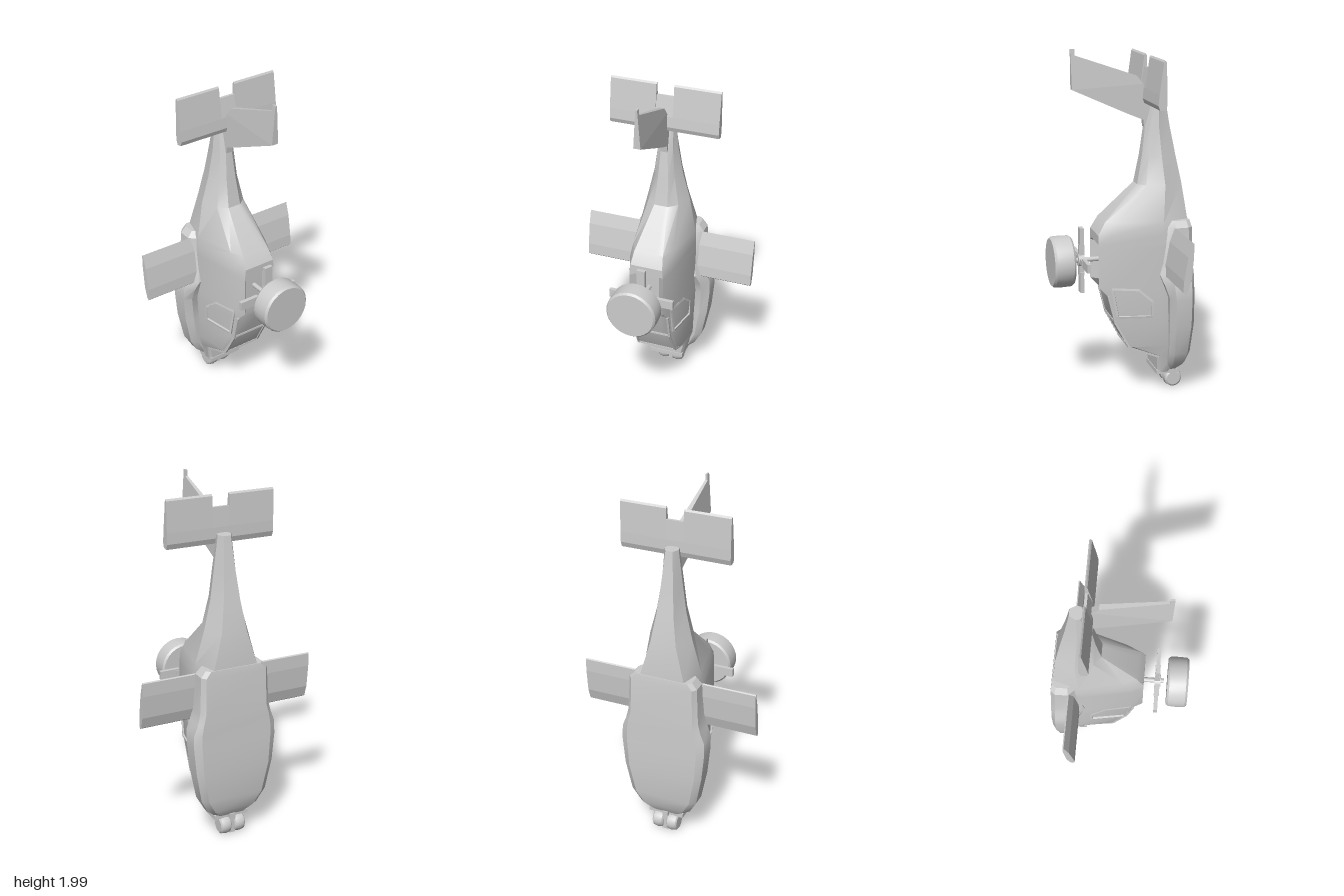
import * as THREE from 'three';
import { toCreasedNormals } from 'three/addons/utils/BufferGeometryUtils.js';

const paint = new THREE.MeshStandardMaterial({ color: 0xcccccc });
paint.name = 'light grey paint';

// Loft mirrored cross-sections along y. Section: [y, [x, z] pairs from back to front]
function loft(sections) {
  const pos = [], idx = [];
  const n = sections[0][1].length * 2;
  for (const [y, half] of sections) {
    const ring = [...half, ...half.slice().reverse().map(([x, z]) => [-x, z])];
    for (const [x, z] of ring) pos.push(x, y, z);
  }
  const last = sections.length - 1;
  for (let r = 0; r < last; r++) {
    for (let i = 0; i < n; i++) {
      const a = r * n + i, b = r * n + (i + 1) % n;
      idx.push(a, a + n, b, b, a + n, b + n);
    }
  }
  // end caps, strips between mirrored points
  for (let i = 0; i < n / 2 - 1; i++) {
    const j = n - 1 - i, t = last * n;
    idx.push(i, i + 1, j, j, i + 1, j - 1);
    idx.push(t + i, t + j, t + i + 1, t + j, t + j - 1, t + i + 1);
  }
  const g = new THREE.BufferGeometry();
  g.setAttribute('position', new THREE.Float32BufferAttribute(pos, 3));
  g.setIndex(idx);
  return toCreasedNormals(g, 0.5);
}

// Outline of [z, y] points extruded along x
function plate(points, x0, x1) {
  const shape = new THREE.Shape(points.map(([z, y]) => new THREE.Vector2(-z, y)));
  const g = new THREE.ExtrudeGeometry(shape, { depth: x1 - x0, bevelEnabled: false });
  return g.rotateY(Math.PI / 2).translate(x0, 0, 0);
}

export function createModel() {
  const model = new THREE.Group();
  const add = (name, geo, parent = model) => {
    const m = new THREE.Mesh(geo, paint);
    m.name = name;
    parent.add(m);
    return m;
  };
  const group = (name) => {
    const g = new THREE.Group();
    g.name = name;
    model.add(g);
    return g;
  };

  // Fuselage: y, belly (z, x), widest (z, x), shoulder (z, x), roof (z, x), roof channel depth
  const hull = [
    [0.12, -0.30, 0.09, -0.27, 0.105, -0.23, 0.105, -0.21, 0.09, 0],
    [0.23, -0.36, 0.12, -0.28, 0.14, -0.22, 0.125, -0.205, 0.115, 0],
    [0.30, -0.36, 0.13, -0.25, 0.155, -0.06, 0.125, -0.035, 0.115, 0],
    [0.45, -0.37, 0.14, -0.22, 0.165, 0.02, 0.125, 0.045, 0.11, 0],
    [0.61, -0.37, 0.15, -0.20, 0.175, 0.05, 0.125, 0.085, 0.11, 0],
    [0.67, -0.37, 0.15, -0.20, 0.175, 0.07, 0.125, 0.14, 0.10, 0.05],
    [0.90, -0.37, 0.15, -0.21, 0.175, 0.07, 0.125, 0.14, 0.10, 0.05],
    [0.92, -0.37, 0.15, -0.21, 0.175, 0.07, 0.125, 0.14, 0.10, 0],
    [0.97, -0.37, 0.14, -0.21, 0.175, 0.07, 0.125, 0.14, 0.095, 0],
    [1.04, -0.37, 0.13, -0.22, 0.17, 0.03, 0.12, 0.10, 0.085, 0],
    [1.24, -0.35, 0.075, -0.24, 0.125, -0.14, 0.09, -0.10, 0.04, 0],
    [1.40, -0.32, 0.05, -0.23, 0.085, -0.16, 0.06, -0.13, 0.03, 0],
    [1.56, -0.29, 0.035, -0.22, 0.06, -0.17, 0.045, -0.15, 0.02, 0],
    [1.75, -0.26, 0.02, -0.225, 0.04, -0.2, 0.035, -0.19, 0.015, 0],
  ];
  add('fuselage', loft(hull.map(([y, zb, xb, zw, xw, zs, xs, zr, xr, d]) =>
    [y, [[xb, zb], [xw, zw], [xs, zs], [xr, zr], [xr * 0.6, zr - d]]])));

  // Belly pod: y, back z, back half width, half width, side front z, front z
  const pod = [
    [0.13, -0.34, 0.07, 0.10, -0.29, -0.27],
    [0.18, -0.37, 0.12, 0.155, -0.29, -0.265],
    [0.26, -0.385, 0.165, 0.20, -0.285, -0.26],
    [0.44, -0.395, 0.20, 0.235, -0.28, -0.255],
    [0.60, -0.393, 0.21, 0.25, -0.275, -0.25],
    [0.68, -0.39, 0.21, 0.248, -0.265, -0.22],
    [0.74, -0.39, 0.20, 0.225, -0.26, -0.195],
    [0.80, -0.387, 0.185, 0.21, -0.27, -0.215],
    [1.01, -0.38, 0.18, 0.20, -0.28, -0.245],
    [1.045, -0.375, 0.15, 0.17, -0.285, -0.255],
  ];
  add('bellyPod', loft(pod.map(([y, zb, xb, w, zm, zf]) =>
    [y, [[xb, zb], [w, zb + 0.025], [w, zm], [w * 0.82, zf]]])));

  // Window frames: slim bars following the cockpit skin
  const frames = group('windowFrames');
  const bar = (name, a, b) => {
    const p = new THREE.Vector3(...a), q = new THREE.Vector3(...b);
    const m = add(name, new THREE.BoxGeometry(0.012, p.distanceTo(q) + 0.008, 0.012), frames);
    m.position.copy(p).lerp(q, 0.5);
    m.quaternion.setFromUnitVectors(new THREE.Vector3(0, 1, 0), q.clone().sub(p).normalize());
  };
  const sideWindow = [[0.66, 0.065], [0.49, 0.035], [0.49, -0.16], [0.58, -0.16], [0.65, -0.08]];
  for (const s of [-1, 1]) {
    const pts = sideWindow.map(([y, z]) => [s * (0.170 - 0.172 * (z + 0.21)), y, z]);
    pts.forEach((p, i) => bar('sideWindowFrame', p, pts[(i + 1) % pts.length]));
    bar('windscreenPost', [s * 0.115, 0.225, -0.21], [s * 0.115, 0.297, -0.035]);
    bar('windscreenPost', [s * 0.115, 0.30, -0.035], [s * 0.11, 0.45, 0.045]);
    bar('windscreenPost', [s * 0.11, 0.45, 0.045], [s * 0.11, 0.61, 0.085]);
  }
  for (const [y, z] of [[0.225, -0.205], [0.30, -0.035], [0.46, 0.047]])
    bar('windscreenRail', [-0.112, y, z], [0.112, y, z]);

  // Nose collar and sensor turret
  const nose = group('noseTurret');
  add('noseCollar', new THREE.BoxGeometry(0.21, 0.025, 0.13), nose).position.set(0, 0.122, -0.27);
  add('turretNeck', new THREE.BoxGeometry(0.035, 0.12, 0.06), nose).position.set(0, 0.075, -0.32);
  const lobe = [[0, -0.033], [0.04, -0.033], [0.05, -0.026], [0.055, 0], [0.05, 0.026], [0.04, 0.033], [0, 0.033]]
    .map(([r, y]) => new THREE.Vector2(r, y));
  for (const s of [-1, 1]) {
    const m = add('turretLobe', toCreasedNormals(new THREE.LatheGeometry(lobe, 16), 0.6), nose);
    m.rotation.z = Math.PI / 2;
    m.position.set(s * 0.043, 0.062, -0.318);
  }

  // Stub wings
  const wing = [[-0.235, 0.725], [-0.224, 0.735], [-0.228, 0.80], [-0.25, 0.93], [-0.275, 1.01],
    [-0.282, 1.005], [-0.282, 0.93], [-0.27, 0.80], [-0.25, 0.735]];
  add('leftWing', plate(wing, 0.15, 0.51));
  add('rightWing', plate(wing, -0.51, -0.15));

  // Tailplane: two panels joined by a shorter centre piece
  const tail = [[-0.145, 1.695], [-0.136, 1.72], [-0.142, 1.78], [-0.165, 1.95], [-0.172, 1.96],
    [-0.18, 1.95], [-0.186, 1.78], [-0.186, 1.72], [-0.175, 1.69]];
  const tailplane = group('tailplane');
  add('tailplaneLeft', plate(tail, 0.05, 0.315), tailplane);
  add('tailplaneRight', plate(tail, -0.315, -0.05), tailplane);
  add('tailplaneCentre', plate(tail.map(([z, y]) => [z, Math.min(y, 1.89)]), -0.05, 0.05), tailplane);

  // Tail fin, thinner toward its trailing edge
  const fin = plate([[0.27, 2.0], [0.245, 2.0], [0.245, 1.965], [-0.105, 1.845], [-0.14, 1.80],
    [-0.19, 1.74], [-0.2, 1.55], [-0.145, 1.56], [-0.14, 1.6], [-0.055, 1.635], [0.265, 1.78]], -0.02, 0.02);
  const fp = fin.attributes.position;
  for (let i = 0; i < fp.count; i++) {
    const k = THREE.MathUtils.clamp((fp.getY(i) - 1.78) / 0.22, 0, 1);
    fp.setX(i, fp.getX(i) * (1 - 0.75 * k));
  }
  fin.computeVertexNormals();
  add('tailFin', fin);

  // Rotor mast, hub, four cut-down blades and the round mast sight
  const rotor = group('rotor');
  rotor.position.y = 0.81;
  const mast = add('mast', new THREE.CylinderGeometry(0.014, 0.014, 0.2, 10), rotor);
  mast.rotation.x = Math.PI / 2;
  mast.position.z = 0.155;
  const hub = add('hub', new THREE.CylinderGeometry(0.035, 0.035, 0.035, 12), rotor);
  hub.rotation.x = Math.PI / 2;
  hub.position.z = 0.22;
  for (let i = 0; i < 4; i++) {
    const arm = new THREE.Group();
    arm.name = 'blade';
    arm.rotation.z = i * Math.PI / 2;
    rotor.add(arm);
    add('bladeRoot', new THREE.BoxGeometry(0.08, 0.03, 0.03), arm).position.set(0.05, 0, 0.217);
    add('bladePanel', new THREE.BoxGeometry(0.12, 0.05, 0.022), arm).position.set(0.13, 0, 0.217);
  }
  const drum = [[0, -0.06], [0.135, -0.06], [0.145, -0.048], [0.147, 0], [0.145, 0.048], [0.135, 0.06], [0, 0.06]]
    .map(([r, y]) => new THREE.Vector2(r, y));
  const sight = add('mastSight', toCreasedNormals(new THREE.LatheGeometry(drum, 28), 0.6), rotor);
  sight.rotation.x = Math.PI / 2;
  sight.position.z = 0.335;

  return model;
}
